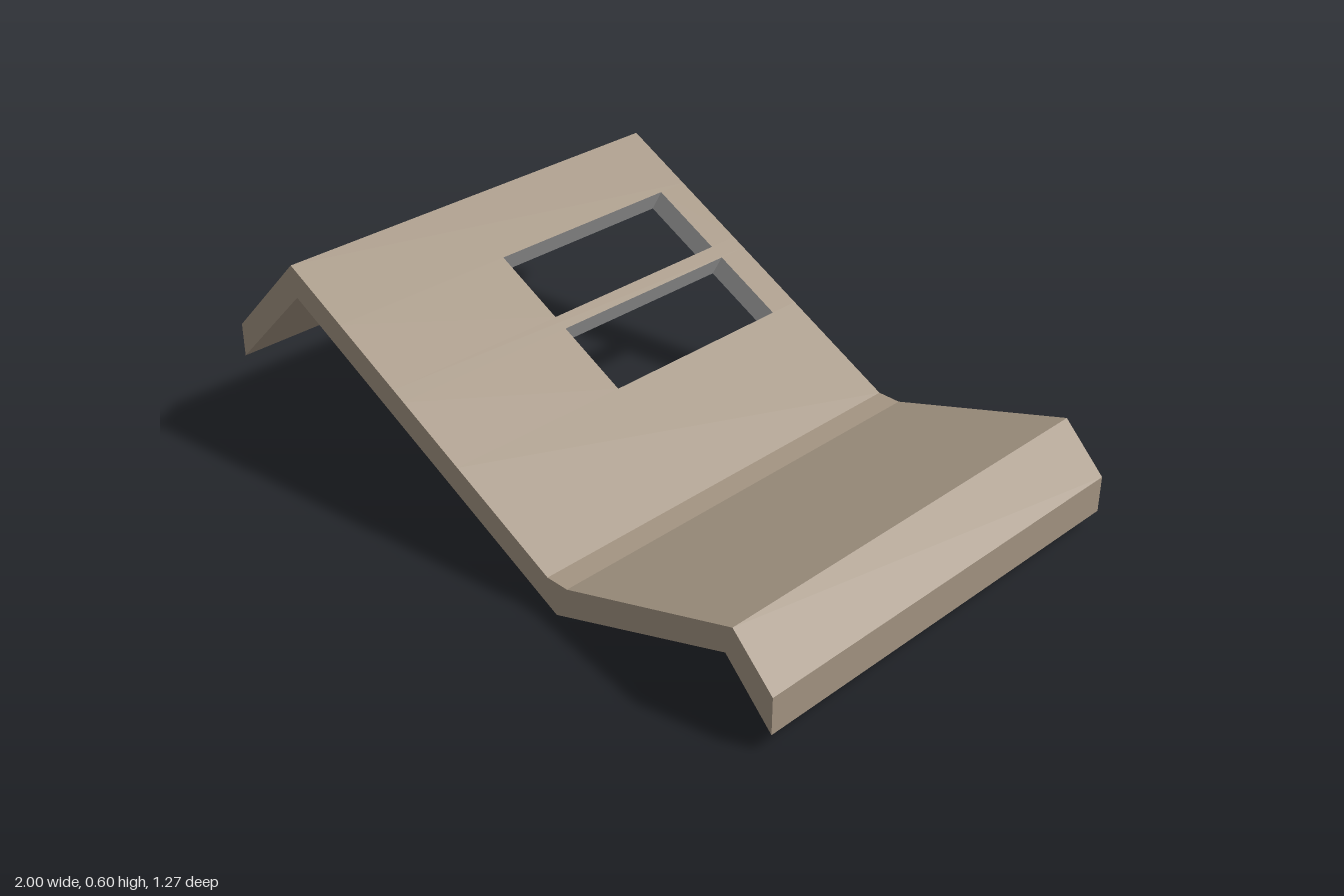
import * as THREE from 'three';

const Z = 0.633;                 // half length of the roof
const HOLE = [-0.54, 0.075];     // z range shared by all window openings

// Corner stations of the folded cross-section: outer (t) and inner (b) points
const corners = [
  { t: [-1, 0.32], b: [-1, 0.22] },
  { t: [-0.725, 0.6], b: [-0.71, 0.51] },
  { t: [0.26, 0.1], b: [0.29, 0.003] },
  { t: [0.33, 0.1], b: [0.29, 0.003] },
  { t: [0.875, 0.28], b: [0.855, 0.2] },
  { t: [1, 0.155], b: [1, 0.05] },
];

// Window openings: slope index, outer x range, x shift through the thickness
const windows = [
  { slope: 0, x: [-0.945, -0.785], shift: 0.05 },
  { slope: 1, x: [-0.525, -0.315], shift: -0.035 },
  { slope: 1, x: [-0.275, -0.07], shift: -0.035 },
];

const onLine = (p, q, x) => [x, p[1] + (q[1] - p[1]) * (x - p[0]) / (q[0] - p[0])];

// Collects quads whose corners run counter-clockwise seen from outside
function quadMesh(name, quads, material) {
  const pos = quads.flatMap(([a, b, c, d]) => [a, b, c, a, c, d].flat());
  const geo = new THREE.BufferGeometry();
  geo.setAttribute('position', new THREE.Float32BufferAttribute(pos, 3));
  geo.computeVertexNormals();
  const mesh = new THREE.Mesh(geo, material);
  mesh.name = name;
  return mesh;
}

export function createModel() {
  const roofMat = new THREE.MeshStandardMaterial({ color: 0xa39482 });
  roofMat.name = 'roofBrown';
  const liningMat = new THREE.MeshStandardMaterial({ color: 0xb3b3b3 });
  liningMat.name = 'liningGrey';

  const outer = [], inner = [], gables = [], eaves = [], linings = [];
  const at = (p, z) => [p[0], p[1], z];
  // Strip from profile point p to q (q further along x), facing up
  const strip = (p, q, z0, z1) => [at(p, z1), at(q, z1), at(q, z0), at(p, z0)];
  const flip = (quad) => [...quad].reverse();
  // Thickness face across the profile at one z, facing +z
  const slice = (s, e, z) => [at(s.b, z), at(e.b, z), at(e.t, z), at(s.t, z)];
  // Thickness face along z at one station, facing +x
  const wall = (s, z0, z1) => [at(s.b, z1), at(s.b, z0), at(s.t, z0), at(s.t, z1)];

  for (let i = 0; i < corners.length - 1; i++) {
    const s = corners[i], e = corners[i + 1];
    // Stations on this slope, with the window edges cut square to it
    const stations = [s];
    for (const w of windows.filter((v) => v.slope === i))
      for (const x of w.x)
        stations.push({ t: onLine(s.t, e.t, x), b: onLine(s.b, e.b, x + w.shift) });
    stations.push(e);

    for (let k = 0; k < stations.length - 1; k++) {
      const a = stations[k], c = stations[k + 1];
      const open = k % 2 === 1;
      const spans = open ? [[-Z, HOLE[0]], [HOLE[1], Z]] : [[-Z, Z]];
      for (const [z0, z1] of spans) {
        outer.push(strip(a.t, c.t, z0, z1));
        if (a.b !== c.b) inner.push(flip(strip(a.b, c.b, z0, z1)));
      }
      gables.push(slice(a, c, Z), flip(slice(a, c, -Z)));
      // Four lining faces of the window opening
      if (open) linings.push([
        wall(a, ...HOLE), flip(wall(c, ...HOLE)),
        slice(a, c, HOLE[0]), flip(slice(a, c, HOLE[1])),
      ]);
    }
  }
  // Vertical faces at the two outer eaves
  eaves.push(flip(wall(corners[0], -Z, Z)), wall(corners[corners.length - 1], -Z, Z));

  const roof = new THREE.Group();
  roof.name = 'foldedRoof';
  roof.add(
    quadMesh('roofTop', outer, roofMat),
    quadMesh('roofUnderside', inner, roofMat),
    quadMesh('gableEdges', gables, roofMat),
    quadMesh('eaveEdges', eaves, roofMat),
  );
  linings.forEach((quads, i) => roof.add(quadMesh(`windowLining${i + 1}`, quads, liningMat)));
  return roof;
}
